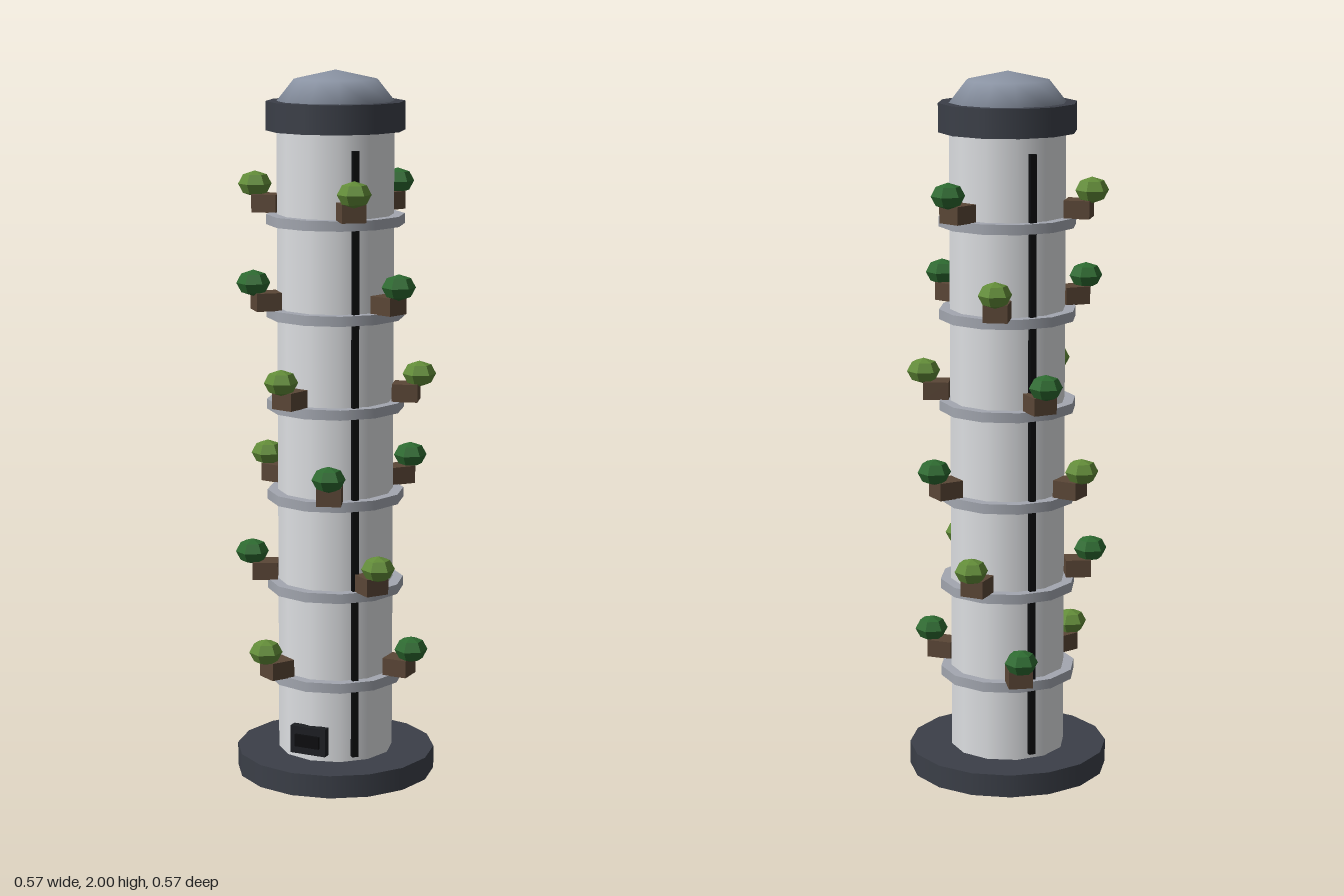
import * as THREE from 'three';

const mat = (color, flatShading = false) => new THREE.MeshStandardMaterial({ color, flatShading });

export function createModel() {
  const model = new THREE.Group();
  const materials = {
    dark: mat(0x3b3f48), wall: mat(0xdddfe2), metal: mat(0xa3a7b0), dome: mat(0x8a93a3),
    black: mat(0x0b0c0e), panel: mat(0x1c1e22), soil: mat(0x5a4636),
    leafDark: mat(0x2d6a30, true), leafLight: mat(0x628c38, true),
  };

  const add = (name, geometry, material, x = 0, y = 0, z = 0, parent = model) => {
    const mesh = new THREE.Mesh(geometry, materials[material]);
    mesh.name = name;
    mesh.position.set(x, y, z);
    parent.add(mesh);
    return mesh;
  };
  // Upright drum between two heights
  const drum = (name, radius, y0, y1, sides, material) =>
    add(name, new THREE.CylinderGeometry(radius, radius, y1 - y0, sides), material, 0, (y0 + y1) / 2);

  // Tower body
  drum('base', 0.283, 0, 0.065, 16, 'dark');
  drum('column', 0.163, 0.065, 1.84, 12, 'wall');
  drum('capRing', 0.193, 1.835, 1.915, 12, 'dark');
  const dome = new THREE.SphereGeometry(0.163, 12, 2, 0, Math.PI * 2, 0, Math.PI / 2);
  dome.scale(1, 0.085 / 0.163, 1);
  add('dome', dome, 'dome', 0, 1.915, 0);

  // Two tall slits on opposite diagonals
  for (const s of [1, -1]) {
    const slit = add('slit', new THREE.BoxGeometry(0.018, 1.71, 0.016), 'black', s * 0.116, 0.935, s * 0.116);
    slit.rotation.y = Math.PI / 4;
  }

  // Control panel at the foot of the column
  add('panel', new THREE.BoxGeometry(0.108, 0.08, 0.025), 'panel', 0, 0.127, 0.168);
  add('panelScreen', new THREE.BoxGeometry(0.075, 0.035, 0.016), 'black', 0, 0.127, 0.181);

  // Ledges, each with three planters, twisting up the tower
  const box = new THREE.BoxGeometry(0.072, 0.05, 0.068);
  const leaves = new THREE.SphereGeometry(0.047, 6, 4);
  leaves.rotateY(Math.PI / 6);
  leaves.scale(1, 0.78, 1);
  for (let level = 0; level < 6; level++) {
    const y = 0.29 + level * 0.26;
    drum('ledge', 0.193, y - 0.014, y + 0.014, 12, 'metal');
    for (let i = 0; i < 3; i++) {
      const a = level * 0.6 + (i * Math.PI * 2) / 3;
      const c = Math.cos(a), s = Math.sin(a);
      const planter = new THREE.Group();
      planter.name = 'planter';
      model.add(planter);
      add('planterBox', box, 'soil', c * 0.2, y + 0.038, s * 0.2, planter).rotation.y = -a;
      add('foliage', leaves, (level + i) % 2 ? 'leafLight' : 'leafDark', c * 0.237, y + 0.09, s * 0.237, planter);
    }
  }
  return model;
}
